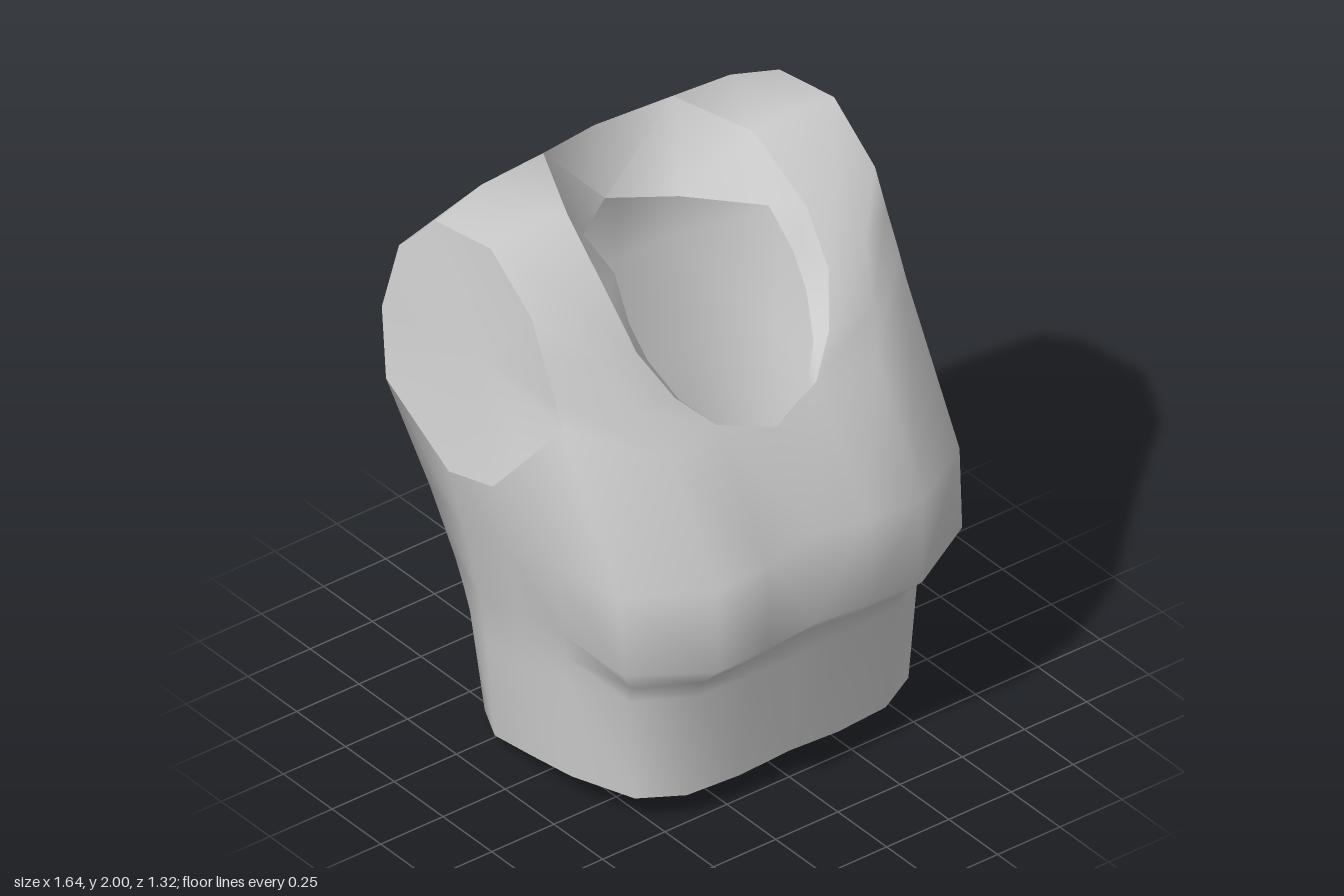
import * as THREE from 'three';
import { mergeVertices, toCreasedNormals } from 'three/addons/utils/BufferGeometryUtils.js';

const fabric = new THREE.MeshStandardMaterial({ color: 0xcccccc, side: THREE.DoubleSide });
fabric.name = 'lightGrey';

// Triangles of a patch: rows run upward, columns run rightward seen from outside
function patch(rows) {
  const tris = [];
  for (let r = 0; r < rows.length - 1; r++) {
    for (let c = 0; c < rows[r].length - 1; c++) {
      const a = rows[r][c], b = rows[r][c + 1], d = rows[r + 1][c], e = rows[r + 1][c + 1];
      tris.push([a, b, e], [a, e, d]);
    }
  }
  return tris;
}

// Triangles around the middle of a closed loop
function fan(loop) {
  const mid = [0, 1, 2].map(k => loop.reduce((s, p) => s + p[k], 0) / loop.length);
  return loop.map((p, i) => [mid, p, loop[(i + 1) % loop.length]]);
}

const mirror = tris => tris.map(([a, b, c]) => [a, c, b].map(([x, y, z]) => [-x, y, z]));

function makeMesh(name, tris, crease) {
  let geo = new THREE.BufferGeometry();
  geo.setAttribute('position', new THREE.Float32BufferAttribute(tris.flat(2), 3));
  geo = mergeVertices(geo, 1e-4);
  if (crease) geo = toCreasedNormals(geo, crease);
  else geo.computeVertexNormals();
  const mesh = new THREE.Mesh(geo, fabric);
  mesh.name = name;
  return mesh;
}

// Half rings, from front centre around the left side to back centre
const hem = [[0, .10, .50], [.2, .09, .50], [.4, .09, .485], [.55, .10, .41], [.64, .11, .2], [.645, .085, 0],
  [.635, .05, -.2], [.55, .025, -.36], [.38, .015, -.42], [.2, .008, -.435], [0, 0, -.44]];
const chest = [[0, 1.0, .63], [.2, .98, .65], [.41, .97, .66], [.685, .97, .5], [.72, .95, .22], [.755, .93, 0],
  [.76, .9, -.2], [.70, .9, -.45], [.42, .9, -.535], [.2, .9, -.53], [0, .9, -.515]];
const armpit = [[0, 1.31, .44], [.2, 1.37, .385], [.42, 1.35, .42], [.69, 1.47, .22], [.75, 1.32, .11], [.8, 1.18, 0],
  [.82, 1.14, -.2], [.79, 1.29, -.56], [.42, 1.27, -.66], [.2, 1.28, -.645], [0, 1.28, -.63]];

// Ring between hem and chest with its own front; sides and back flare gradually
function ring(t, front) {
  const flare = t ** 1.6;
  const rest = hem.slice(front.length).map((h, i) => {
    const c = chest[i + front.length];
    return [h[0] + (c[0] - h[0]) * flare, h[1] + (c[1] - h[1]) * t, h[2] + (c[2] - h[2]) * flare];
  });
  return [...front, ...rest];
}
const waist = ring(.44, [[0, .5, .56], [.2, .5, .555], [.4, .49, .53], [.58, .49, .42]]);
const underBust = ring(.57, [[0, .595, .57], [.2, .575, .57], [.4, .565, .565], [.6, .57, .46]]);
const bust = ring(.68, [[0, .67, .645], [.2, .66, .655], [.41, .66, .66], [.68, .68, .52]]);

// Straps: neck edge, middle, arm edge, from the front over the shoulder
const straps = [
  armpit.slice(1, 4),
  [[.31, 1.48, .31], [.48, 1.5, .32], [.69, 1.56, .18]],
  [[.385, 1.63, .21], [.53, 1.67, .215], [.69, 1.68, .12]],
  [[.40, 1.79, .08], [.54, 1.82, .06], [.69, 1.81, .06]],
  [[.375, 1.96, -.16], [.54, 1.98, -.15], [.69, 1.965, -.15]],
  [[.26, 2.0, -.43], [.5, 1.975, -.44], [.69, 1.92, -.43]],
];
const shoulder = straps[5];
const napeCentre = [0, 1.96, -.5];

// Upper back: arm edge to centre
const upperBack = [
  armpit.slice(7),
  [[.76, 1.52, -.62], [.43, 1.52, -.655], [.22, 1.52, -.65], [0, 1.52, -.635]],
  [[.73, 1.77, -.57], [.45, 1.78, -.605], [.24, 1.78, -.605], [0, 1.77, -.59]],
  [shoulder[2], shoulder[1], shoulder[0], napeCentre],
];

// Neck edge and the inner edge of its turned-in band
const neck = [armpit[0], ...straps.map(row => row[0]), napeCentre];
const neckInner = [[0, 1.27, .42], [.18, 1.33, .36], [.27, 1.44, .28], [.32, 1.56, .18],
  [.33, 1.66, .1], [.31, 1.79, 0], [.2, 1.7, -.32], [0, 1.71, -.445]];

// Arm opening, counter-clockwise seen from outside
const armLoop = [...armpit.slice(3, 8), upperBack[1][0], upperBack[2][0],
  ...straps.slice(1).reverse().map(row => row[2])];

export function createModel() {
  const group = new THREE.Group();
  group.name = 'torso';

  const half = [
    ...patch([hem, waist, underBust, bust, chest, armpit]),
    ...patch(straps),
    ...patch(upperBack),
  ];
  group.add(makeMesh('body', [...half, ...mirror(half)]));

  const band = patch([neck, neckInner]);
  group.add(makeMesh('neckBand', [...band, ...mirror(band)], 0.9));

  const cap = fan(armLoop);
  group.add(makeMesh('leftArmCap', cap));
  group.add(makeMesh('rightArmCap', mirror(cap)));
  return group;
}
